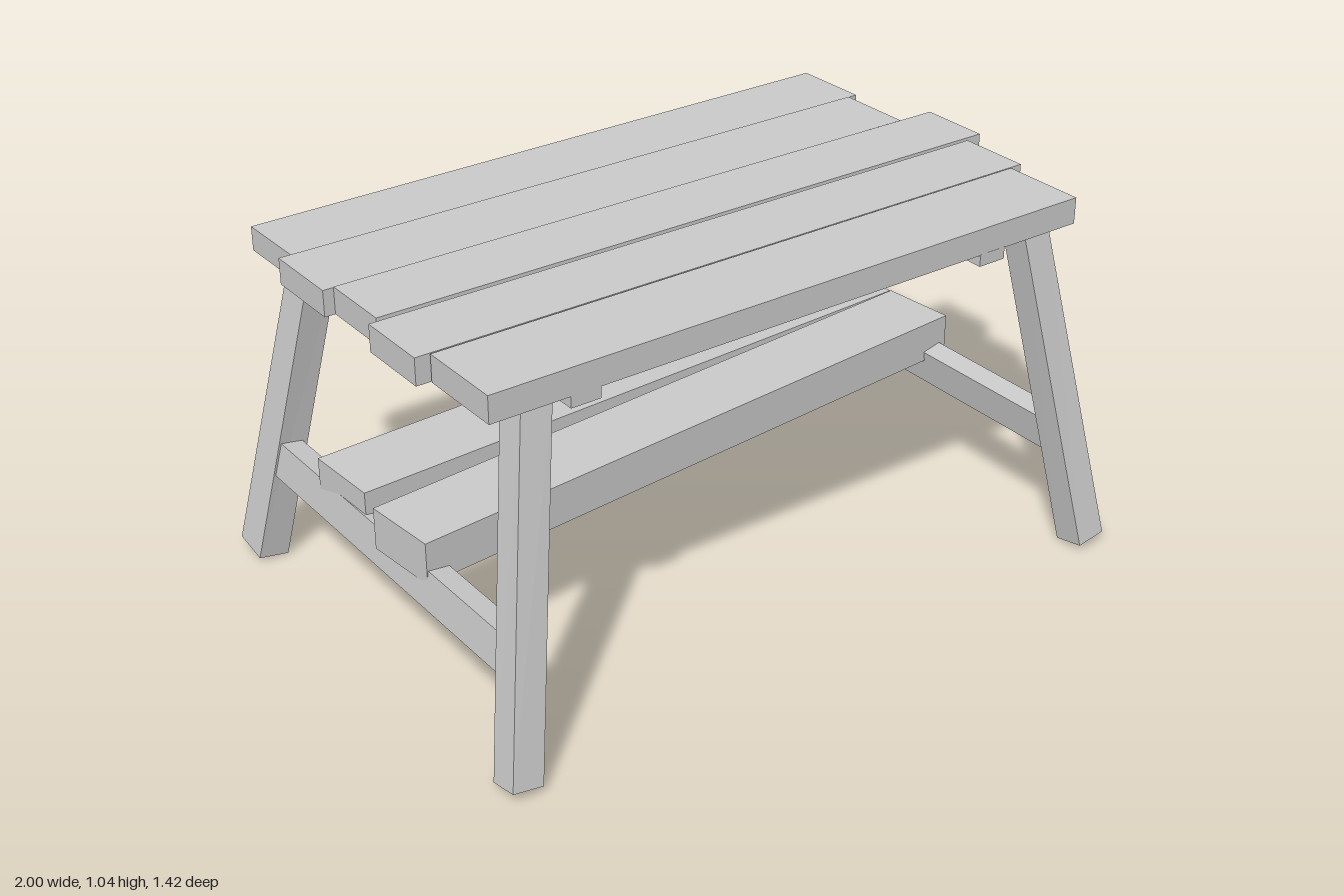
import * as THREE from 'three';

const wood = new THREE.MeshStandardMaterial({ color: 0xcccccc, flatShading: true });

function addBox(group, name, size, pos) {
  const mesh = new THREE.Mesh(new THREE.BoxGeometry(...size), wood);
  mesh.name = name;
  mesh.position.set(...pos);
  group.add(mesh);
  return mesh;
}

// Board along x; zL and zR are its centre line at the -x and +x ends
function addBoard(group, name, [x0, x1, y0, y1, zL, zR, width]) {
  const length = Math.hypot(x1 - x0, zR - zL);
  const board = addBox(group, name, [length, y1 - y0, width],
    [(x0 + x1) / 2, (y0 + y1) / 2, (zL + zR) / 2]);
  board.rotation.y = -Math.atan2(zR - zL, x1 - x0);
}

// Splayed leg: each box corner is moved to the inner or outer edge, foot cut square to the leg
function addLeg(group, name, sx, sz) {
  const geo = new THREE.BoxGeometry(1, 1, 1);
  const p = geo.attributes.position;
  const back = sz < 0 ? 0.02 : 0;
  for (let i = 0; i < p.count; i++) {
    const outX = p.getX(i) * sx > 0, outZ = p.getZ(i) * sz > 0, top = p.getY(i) > 0;
    const x = (top ? 0.8325 : 0.9925) - (outX ? 0 : 0.0875);
    const z = (top ? 0.553 : 0.712) - (outZ ? 0 : 0.088 + back);
    const y = top ? 0.97 : (outX ? 0.015 : 0) + (outZ ? 0.018 : 0);
    p.setXYZ(i, x * sx - 0.0075, y, z * sz);
  }
  geo.computeVertexNormals();
  const leg = new THREE.Mesh(geo, wood);
  leg.name = name;
  group.add(leg);
}

export function createModel() {
  const table = new THREE.Group();
  table.name = 'table';

  // Uneven tabletop planks, back to front
  const top = new THREE.Group();
  top.name = 'tabletop';
  table.add(top);
  [
    [-0.94, 0.93, 0.962, 1.03, -0.46, -0.478, 0.23],
    [-0.98, 0.89, 0.965, 1.038, -0.23, -0.234, 0.23],
    [-0.95, 1.0, 0.965, 1.04, -0.01, -0.01, 0.21],
    [-0.98, 0.94, 0.965, 1.04, 0.218, 0.216, 0.213],
    [-0.94, 0.9, 0.965, 1.04, 0.453, 0.45, 0.248],
  ].forEach((b, i) => addBoard(top, `topPlank${i + 1}`, b));

  // Battens under the top
  for (const x of [-0.675, 0.603])
    addBox(table, 'batten', [0.085, 0.034, 1.16], [x, 0.95, -0.005]);

  // Legs and tilted end stretchers
  for (const sx of [-1, 1]) {
    const side = sx > 0 ? 'Left' : 'Right';
    addLeg(table, `front${side}Leg`, sx, 1);
    addLeg(table, `back${side}Leg`, sx, -1);
    const stretcher = addBox(table, `stretcher${side}`, [0.065, 0.105, 1.2],
      [sx * 0.9 - 0.0075, 0.334, 0]);
    stretcher.rotation.z = sx * 0.168;
  }

  // Skewed shelf boards resting on the stretchers
  addBoard(table, 'frontShelfBoard', [-0.945, 0.93, 0.352, 0.472, 0.127, -0.043, 0.224]);
  addBoard(table, 'backShelfBoard', [-0.93, 0.935, 0.345, 0.455, -0.2, -0.295, 0.228]);

  return table;
}
